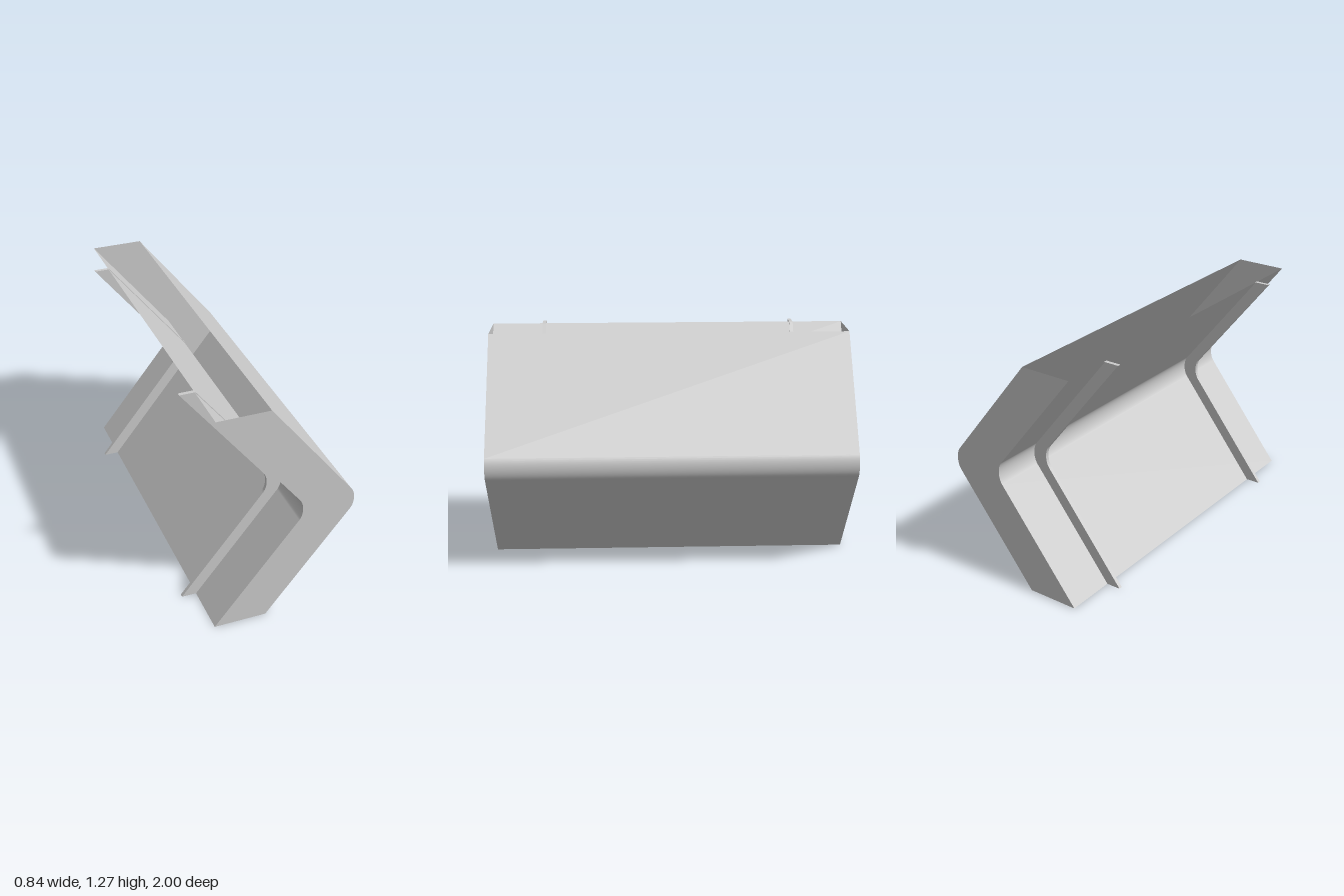
import * as THREE from 'three';

const H = 1.275;
const material = new THREE.MeshStandardMaterial({ color: 0xcccccc, side: THREE.DoubleSide });

// Bent centre line, bottom to top: two straight legs joined by a rounded elbow
function bendPath() {
  const leg = [new THREE.Vector2(-0.42, 0), new THREE.Vector2(0.036, 0.575)];
  const elbow = new THREE.CubicBezierCurve(
    leg[1], new THREE.Vector2(0.061, 0.607),
    new THREE.Vector2(0.061, H - 0.607), new THREE.Vector2(0.036, H - 0.575));
  return [leg[0], ...elbow.getPoints(12), new THREE.Vector2(-0.42, H)];
}

// Flat outline between two horizontal offsets of the bend
function bandShape(from, to) {
  const path = bendPath();
  const shift = (d) => path.map((p) => new THREE.Vector2(p.x + d, p.y));
  return new THREE.Shape([...shift(to), ...shift(from).reverse()]);
}

// Bent sheet spanning the full width in z
function bentSheet(offset) {
  const path = bendPath();
  const geo = new THREE.PlaneGeometry(2, 1, 1, path.length - 1);
  const pos = geo.attributes.position;
  for (let i = 0; i < pos.count; i++) {
    const p = path[path.length - 1 - Math.floor(i / 2)];
    pos.setXYZ(i, p.x + offset, p.y, -pos.getX(i));
  }
  geo.computeVertexNormals();
  return geo;
}

export function createModel() {
  const group = new THREE.Group();
  const add = (name, geo, z = 0) => {
    const mesh = new THREE.Mesh(geo, material);
    mesh.name = name;
    mesh.position.z = z;
    group.add(mesh);
  };

  // Thin-walled channel, open at the top and bottom
  add('outerWall', bentSheet(0.365));
  add('innerWall', bentSheet(0.08));

  for (const side of [1, -1]) {
    const label = side > 0 ? 'front' : 'back';
    // Closed chevron cheeks
    const cheek = new THREE.ShapeGeometry(bandShape(0.08, 0.365));
    if (side < 0) { // turn the back cheek to face outward
      const index = cheek.index.array;
      for (let i = 0; i < index.length; i += 3) [index[i], index[i + 1]] = [index[i + 1], index[i]];
      cheek.computeVertexNormals();
    }
    add(label + 'Cheek', cheek, side);
    // Thin ribs following the bend along the inner wall
    const rib = new THREE.ExtrudeGeometry(bandShape(0, 0.085), { depth: 0.02, bevelEnabled: false });
    rib.translate(0, 0, -0.01);
    add(label + 'Rib', rib, side * 0.71);
  }
  return group;
}
